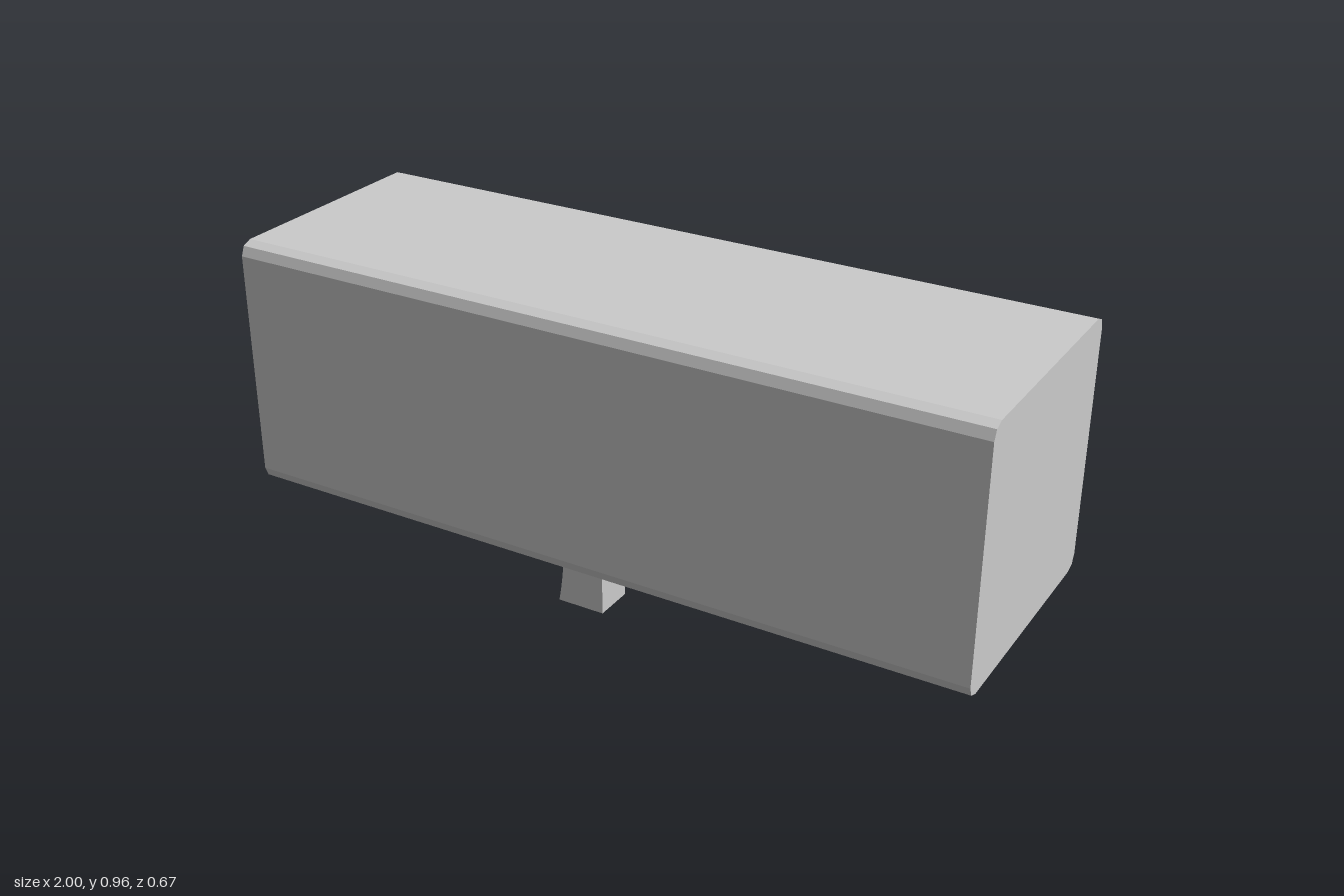
import * as THREE from 'three';

const LENGTH = 2, HALF = 0.335, MID_Y = 0.624;      // housing
const BORE_R = 0.14, BORE_OFFSET = 0.152, BORE_DEPTH = 0.13;

const grey = new THREE.MeshStandardMaterial({ color: 0xcccccc });
const inside = new THREE.MeshStandardMaterial({ color: 0xcccccc, side: THREE.BackSide });

function addMesh(parent, name, geometry, material = grey) {
  const mesh = new THREE.Mesh(geometry, material);
  mesh.name = name;
  parent.add(mesh);
  return mesh;
}

// Square cross-section with small two-step rounded corners
function housingShape() {
  const r = 0.035, points = [];
  for (let corner = 0; corner < 4; corner++) {
    const start = corner * Math.PI / 2, mid = start + Math.PI / 4;
    const cx = Math.sign(Math.cos(mid)) * (HALF - r);
    const cy = Math.sign(Math.sin(mid)) * (HALF - r);
    for (let i = 0; i <= 2; i++) {
      const a = start + i * Math.PI / 4;
      points.push(new THREE.Vector2(cx + r * Math.cos(a), cy + r * Math.sin(a)));
    }
  }
  return new THREE.Shape(points);
}

// Keep only the side walls of an extrusion, leaving both ends open
function extrudeWalls(shape, depth) {
  const full = new THREE.ExtrudeGeometry(shape, { depth, bevelEnabled: false });
  const { start, count } = full.groups[1];
  const walls = new THREE.BufferGeometry();
  for (const name of ['position', 'normal', 'uv']) {
    const { array, itemSize } = full.attributes[name];
    walls.setAttribute(name, new THREE.BufferAttribute(
      array.slice(start * itemSize, (start + count) * itemSize), itemSize));
  }
  return walls;
}

function extrudeCentred(shape, width) {
  return new THREE.ExtrudeGeometry(shape, { depth: width, bevelEnabled: false, curveSegments: 8 })
    .translate(0, 0, -width / 2);
}

export function createModel() {
  const model = new THREE.Group();
  model.name = 'launcher';

  // Long box housing with a plain rear end
  const housing = new THREE.Group();
  housing.name = 'housing';
  housing.position.y = MID_Y;
  model.add(housing);
  addMesh(housing, 'housingWalls',
    extrudeWalls(housingShape(), LENGTH).translate(0, 0, -LENGTH / 2).rotateY(Math.PI / 2));
  addMesh(housing, 'rearPlate',
    new THREE.ShapeGeometry(housingShape()).rotateY(Math.PI / 2).translate(LENGTH / 2, 0, 0));

  // Muzzle end with four shallow round bores
  const muzzle = housingShape();
  for (const sy of [-1, 1]) {
    for (const sz of [-1, 1]) {
      const y = sy * BORE_OFFSET, z = sz * BORE_OFFSET;
      const hole = new THREE.Path();
      hole.absarc(z, y, BORE_R, 0, Math.PI * 2, true);
      muzzle.holes.push(hole);

      const bore = new THREE.Group();
      bore.name = 'bore';
      bore.position.set(-LENGTH / 2, y, z);
      housing.add(bore);
      addMesh(bore, 'boreWall',
        new THREE.CylinderGeometry(BORE_R, BORE_R, BORE_DEPTH, 32, 1, true)
          .rotateZ(Math.PI / 2).translate(BORE_DEPTH / 2, 0, 0), inside);
      addMesh(bore, 'boreFloor',
        new THREE.CircleGeometry(BORE_R, 32)
          .rotateY(-Math.PI / 2).translate(BORE_DEPTH, 0, 0));
    }
  }
  addMesh(housing, 'muzzlePlate',
    new THREE.ShapeGeometry(muzzle, 16).rotateY(-Math.PI / 2).translate(-LENGTH / 2, 0, 0));

  // Grip with a hollowed front edge
  const grip = new THREE.Shape();
  grip.moveTo(-0.12, 0);
  grip.lineTo(-0.12, 0.295);
  grip.lineTo(-0.258, 0.295);
  grip.quadraticCurveTo(-0.246, 0.22, -0.239, 0.15);
  grip.quadraticCurveTo(-0.241, 0.08, -0.256, 0);
  addMesh(model, 'grip', extrudeCentred(grip, 0.114));

  // Thin curved trigger ahead of the grip
  const trigger = new THREE.Shape();
  trigger.moveTo(-0.235, 0.295);
  trigger.lineTo(-0.297, 0.295);
  trigger.quadraticCurveTo(-0.295, 0.2, -0.337, 0.167);
  trigger.quadraticCurveTo(-0.29, 0.15, -0.235, 0.149);
  addMesh(model, 'trigger', extrudeCentred(trigger, 0.04));

  return model;
}
